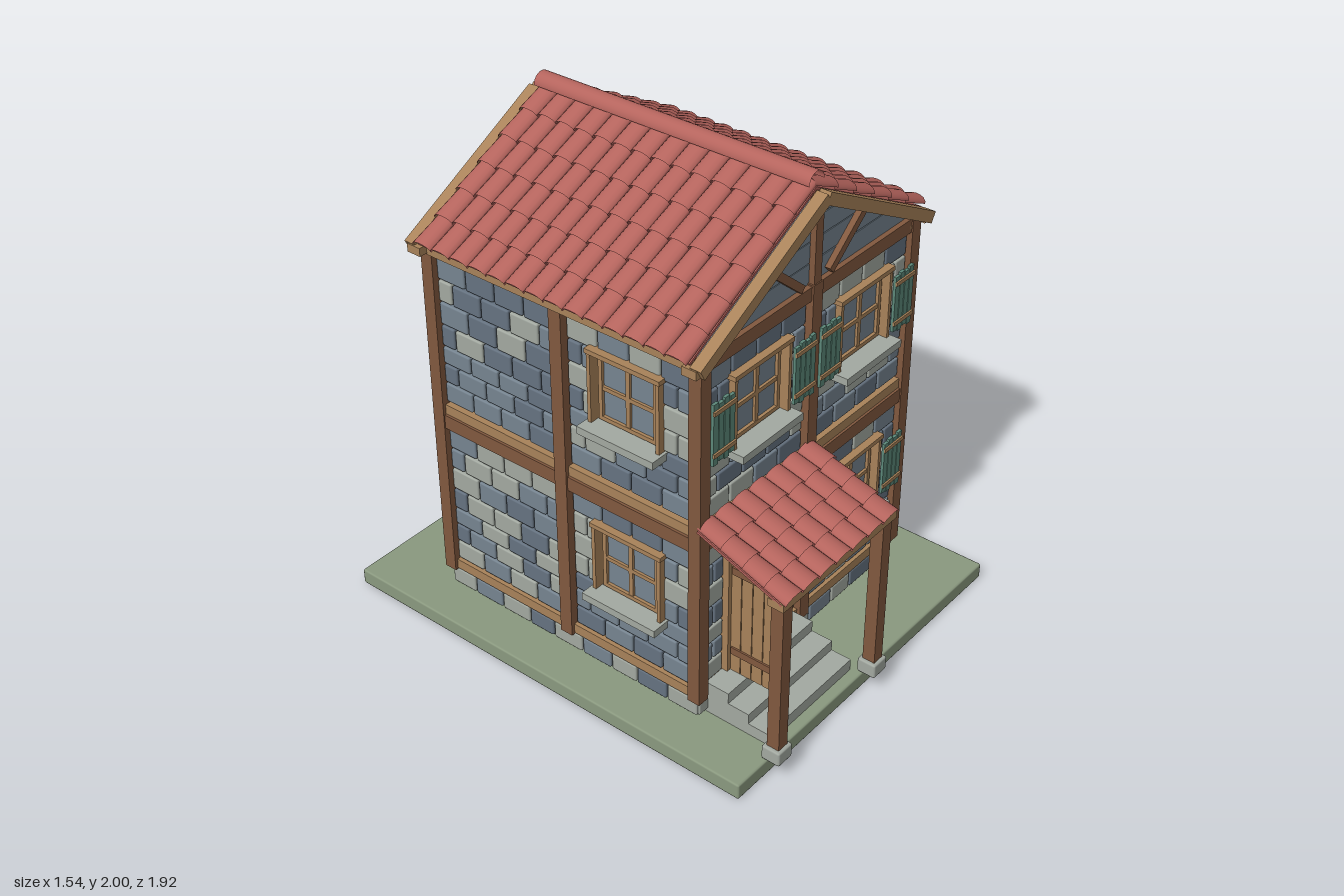
import * as THREE from 'three';
import { mergeGeometries } from 'three/addons/utils/BufferGeometryUtils.js';
import { RoundedBoxGeometry } from 'three/addons/geometries/RoundedBoxGeometry.js';

const material = (name, color, side = THREE.FrontSide) => {
  const m = new THREE.MeshStandardMaterial({ color, side });
  m.name = name;
  return m;
};
const M = {
  grass: material('grass green', 0x8b9a80),
  slate: material('dark slate stone', 0x667381),
  blue: material('blue grey stone', 0x778591),
  light: material('pale stone', 0xa4aaa2),
  dark: material('dark timber', 0x82593f),
  tan: material('light timber', 0xa9835a),
  shutter: material('shutter green', 0x5d897a),
  tile: material('roof tile red', 0xb5645d, THREE.DoubleSide),
};

function mesh(parent, name, geometry, mat) {
  const m = new THREE.Mesh(geometry, mat);
  m.name = name;
  parent.add(m);
  return m;
}
// Box given by its extents on each axis
function box(parent, name, mat, [x0, x1], [y0, y1], [z0, z1]) {
  const m = mesh(parent, name, new THREE.BoxGeometry(x1 - x0, y1 - y0, z1 - z0), mat);
  m.position.set((x0 + x1) / 2, (y0 + y1) / 2, (z0 + z1) / 2);
  return m;
}
function group(parent, name, x = 0, y = 0, z = 0) {
  const g = new THREE.Group();
  g.name = name;
  g.position.set(x, y, z);
  parent.add(g);
  return g;
}
let seed = 7;
const random = () => (seed = (seed * 16807) % 2147483647) / 2147483647;

// Collects stone blocks by colour, then merges each colour into one mesh
function masonry() {
  const sets = { slate: [], blue: [], light: [] };
  return {
    add(u0, u1, y0, y1, outer, color) {
      const g = new RoundedBoxGeometry(u1 - u0 - 0.006, y1 - y0 - 0.006, 0.05, 1, 0.007);
      g.translate((u0 + u1) / 2, (y0 + y1) / 2, outer - 0.025);
      const r = random();
      sets[color || (r < 0.42 ? 'blue' : r < 0.78 ? 'slate' : 'light')].push(g);
    },
    build(parent) {
      for (const k in sets) if (sets[k].length) mesh(parent, k + 'Stones', mergeGeometries(sets[k]), M[k]);
    },
  };
}

// Fills one course between u0 and u1 with staggered blocks
function course(stones, u0, u1, y0, y1, row) {
  const w = u1 - u0;
  if (w < 0.2) {
    if (row % 2 === 0) return stones.add(u0, u1, y0, y1, 0.6, 'light');
    stones.add(u0, u0 + w / 2, y0, y1, 0.6);
    return stones.add(u0 + w / 2, u1, y0, y1, 0.6);
  }
  const n = Math.round(w / 0.135), s = w / n, shift = row % 2 ? s / 2 : 0;
  for (let a = u0 - shift; a < u1 - 0.01; a += s) {
    stones.add(Math.max(a, u0), Math.min(a + s, u1), y0, y1, 0.6);
  }
}

const ROWS = [0.2, 0.285, 0.365, 0.44, 0.53, 0.625, 0.715, 0.805];
function panel(stones, u0, u1, lift, hole) {
  for (let r = 0; r < 7; r++) {
    const y0 = ROWS[r] + lift, y1 = ROWS[r + 1] + lift;
    if (hole && r >= hole.first && r <= hole.last) {
      course(stones, u0, hole.u0, y0, y1, r);
      course(stones, hole.u1, u1, y0, y1, r);
    } else course(stones, u0, u1, y0, y1, r);
  }
}

// Window: outer casing, free-standing sash with glass, stone sill, optional shutters
function windowUnit(parent, u, lift, shutters) {
  const g = group(parent, 'window', u, lift, 0);
  for (const s of [-1, 1]) {
    const side = (a, b) => [Math.min(s * a, s * b), Math.max(s * a, s * b)];
    box(g, 'casingJamb', M.tan, side(0.14, 0.155), [0.44, 0.72], [0.56, 0.625]);
    box(g, 'sashStile', M.tan, side(0.11, 0.126), [0.45, 0.705], [0.575, 0.6]);
    if (!shutters) continue;
    const w = 0.029;
    for (let i = 0; i < 4; i++) {
      const a = 0.165 + i * w;
      box(g, 'shutterSlat', M.shutter, side(a, a + w - 0.004), [0.455 - (i % 2) * 0.008, 0.68 + (i % 2) * 0.008], [0.622, 0.634]);
    }
    for (const y of [0.49, 0.655]) box(g, 'shutterBatten', M.tan, side(0.162, 0.28), [y - 0.008, y + 0.008], [0.633, 0.641]);
  }
  box(g, 'lintel', M.tan, [-0.16, 0.16], [0.714, 0.732], [0.56, 0.63]);
  for (const y of [0.45, 0.69]) box(g, 'sashRail', M.tan, [-0.126, 0.126], [y, y + 0.016], [0.575, 0.6]);
  box(g, 'mullion', M.tan, [-0.009, 0.009], [0.45, 0.705], [0.577, 0.598]);
  box(g, 'glazingBar', M.tan, [-0.12, 0.12], [0.57, 0.586], [0.577, 0.598]);
  box(g, 'glass', M.blue, [-0.12, 0.12], [0.455, 0.7], [0.58, 0.588]);
  box(g, 'sill', M.light, [-0.166, 0.166], [0.41, 0.44], [0.57, 0.672]);
}

// Sloping tiled roof plane rising toward -z from its front edge
function tiledRoof(parent, name, width, length, slope, cols, rows) {
  const g = group(parent, name);
  g.rotation.x = slope - Math.PI / 2;
  const p = width / cols, l = length / rows, tiles = [];
  for (let c = 0; c < cols; c++) for (let r = 0; r < rows; r++) {
    const t = new THREE.CylinderGeometry(p * 0.47, p * 0.52, l * 1.12, 8, 1, true, -Math.PI / 2, Math.PI);
    t.scale(1, 1, 0.6).rotateX(-0.07);
    t.translate((c + 0.5) * p - width / 2, (r + 0.5) * l, 0.006);
    tiles.push(t);
  }
  mesh(g, 'tiles', mergeGeometries(tiles), M.tile);
  box(g, 'roofDeck', M.tile, [-width / 2, width / 2], [0.01, length], [-0.01, 0]);
  return g;
}

function gable(parent) {
  const g = group(parent, 'gable');
  const base = 1.585, apex = 1.91, half = 0.61, n = 4;
  // Boarded triangle
  for (let i = 0; i < n; i++) {
    const a = i / n, b = (i + 1) / n - 0.012, h = apex - base;
    const shape = new THREE.Shape([[-1, a], [1, a], [1, b], [-1, b]].map(([s, t]) => new THREE.Vector2(s * half * (1 - t), base + h * t)));
    const m = mesh(g, 'gableBoard', new THREE.ExtrudeGeometry(shape, { depth: 0.02, bevelEnabled: false }), M.blue);
    m.position.z = 0.575;
  }
  box(g, 'kingPost', M.dark, [-0.02, 0.02], [1.58, 1.925], [0.57, 0.618]);
  for (const s of [-1, 1]) {
    const brace = mesh(g, 'brace', new THREE.BoxGeometry(0.25, 0.03, 0.03), M.dark);
    brace.position.set(s * 0.175, 1.68, 0.603);
    brace.rotation.z = -s * -0.7;
    brace.rotation.z = s * -0.7 + (s > 0 ? 1.4 : -1.4);
    const board = mesh(g, 'bargeboard', new THREE.BoxGeometry(0.74, 0.045, 0.045), M.tan);
    board.position.set(s * 0.325, 1.742, 0.628);
    board.rotation.z = -s * Math.atan(0.355 / 0.66);
    box(g, 'plateEnd', M.tan, s > 0 ? [0.62, 0.665] : [-0.665, -0.62], [1.55, 1.583], [0.575, 0.635]);
  }
}

function wall(house, k) {
  const g = group(house, ['frontWall', 'leftWall', 'backWall', 'rightWall'][k]);
  g.rotation.y = k * Math.PI / 2;
  const ends = k % 2 === 0, stones = masonry();
  for (const s of [-1, 1]) for (const lift of [0, 0.72]) {
    const u = s * 0.295, isDoor = k === 0 && s < 0 && lift === 0;
    const glazed = ends || (k === 1 ? s < 0 : s > 0);
    const hole = isDoor ? { u0: -0.46, u1: -0.14, first: 0, last: 6 }
      : glazed ? { u0: u - 0.14, u1: u + 0.14, first: 3, last: 5 } : null;
    panel(stones, s > 0 ? 0.03 : -0.57, s > 0 ? 0.57 : -0.03, lift, hole);
    if (glazed && !isDoor) windowUnit(g, u, lift, ends);
  }
  // Foundation course
  for (let i = 0, u = -0.6; i < 9; i++) {
    const w = [0.12, 0.14, 0.14][i % 3];
    stones.add(u, u + w, 0.075, 0.152, 0.605, ['light', 'blue', 'light', 'slate'][i % 4]);
    u += w;
  }
  stones.build(g);
  // Timber frame
  box(g, 'cornerPost', M.dark, [0.568, 0.62], [0.15, 1.59], [0.568, 0.62]);
  box(g, 'middlePost', M.dark, [-0.027, 0.027], [0.15, 1.59], [0.565, 0.622]);
  box(g, 'sillBeam', M.tan, [-0.57, 0.57], [0.155, 0.196], [0.56, 0.607]);
  box(g, 'floorBeam', M.dark, [-0.57, 0.57], [0.81, 0.868], [0.56, 0.615]);
  box(g, 'floorRail', M.tan, [-0.57, 0.57], [0.87, 0.91], [0.56, 0.607]);
  if (ends) {
    box(g, 'topBeam', M.dark, [-0.57, 0.57], [1.53, 1.585], [0.56, 0.615]);
    gable(g);
  } else {
    box(g, 'wallPlate', M.tan, [-0.615, 0.615], [1.545, 1.582], [0.56, 0.632]);
    // Roof slope above this side
    tiledRoof(g, 'roofSlope', 1.195, 0.75, Math.atan(0.355 / 0.66), 14, 6).position.set(0, 1.588, 0.66);
  }
}

function entrance(root) {
  const g = group(root, 'entrance');
  // Stone steps
  [[0.2, 0.67], [0.155, 0.76], [0.113, 0.845]].forEach(([top, z]) => box(g, 'step', M.light, [-0.55, -0.05], [0.065, top], [0.57, z]));
  // Door frame and open plank door
  for (const x of [-0.46, -0.16]) box(g, 'doorJamb', M.tan, [x, x + 0.02], [0.2, 0.76], [0.53, 0.595]);
  box(g, 'doorHead', M.tan, [-0.46, -0.14], [0.75, 0.806], [0.53, 0.595]);
  for (let i = 0; i < 5; i++) box(g, 'doorPlank', M.tan, [-0.443, -0.423], [0.2, 0.74], [0.592 + i * 0.048, 0.637 + i * 0.048]);
  for (const y of [0.28, 0.64]) box(g, 'doorBatten', M.dark, [-0.45, -0.443], [y, y + 0.03], [0.6, 0.825]);
  // Porch posts, beam and roof
  for (const x of [-0.585, -0.01]) {
    box(g, 'porchPost', M.dark, [x - 0.025, x + 0.025], [0.13, 0.768], [0.885, 0.936]);
    const foot = mesh(g, 'postFoot', new RoundedBoxGeometry(0.078, 0.06, 0.078, 1, 0.008), M.light);
    foot.position.set(x, 0.105, 0.91);
    const rafter = mesh(g, 'porchRafter', new THREE.BoxGeometry(0.03, 0.025, 0.36), M.dark);
    rafter.position.set(x, 0.838, 0.76);
    rafter.rotation.x = 0.36;
  }
  box(g, 'porchBeam', M.tan, [-0.625, 0.03], [0.765, 0.797], [0.88, 0.945]);
  tiledRoof(g, 'porchRoof', 0.65, 0.385, 0.36, 7, 4).position.set(-0.3, 0.79, 0.947);
}

function interior(house) {
  const g = group(house, 'interior');
  box(g, 'groundFloor', M.tan, [-0.56, 0.56], [0.17, 0.195], [-0.56, 0.56]);
  box(g, 'upperFloor', M.tan, [-0.56, 0.56], [0.85, 0.87], [-0.56, 0.56]);
  // Stairs in two flights with a landing between
  for (let i = 0; i < 7; i++) {
    box(g, 'lowerTread', M.tan, [-0.42, -0.32], [0.195 + i * 0.05, 0.24 + i * 0.05], [0.12 - i * 0.06, 0.19 - i * 0.06]);
    if (i < 6) box(g, 'upperTread', M.tan, [-0.27, -0.16], [0.56 + i * 0.048, 0.6 + i * 0.048], [-0.24 + i * 0.06, -0.17 + i * 0.06]);
  }
  box(g, 'landing', M.tan, [-0.42, -0.16], [0.53, 0.56], [-0.42, -0.24]);
  box(g, 'newelPost', M.dark, [-0.29, -0.27], [0.55, 0.85], [-0.26, -0.24]);
}

export function createModel() {
  seed = 7;
  const root = new THREE.Group();
  root.name = 'timberHouse';
  const ground = mesh(root, 'ground', new RoundedBoxGeometry(1.545, 0.065, 1.845, 1, 0.008), M.grass);
  ground.position.set(0, 0.0325, -0.0325);
  const house = group(root, 'house', 0, 0, -0.025);
  for (let k = 0; k < 4; k++) wall(house, k);
  interior(house);
  // Ridge cap
  const cap = new THREE.CylinderGeometry(0.042, 0.042, 1.195, 12, 1, true, -Math.PI / 2, Math.PI).rotateX(-Math.PI / 2);
  mesh(house, 'ridgeCap', cap, M.tile).position.y = 1.958;
  entrance(root);
  return root;
}
